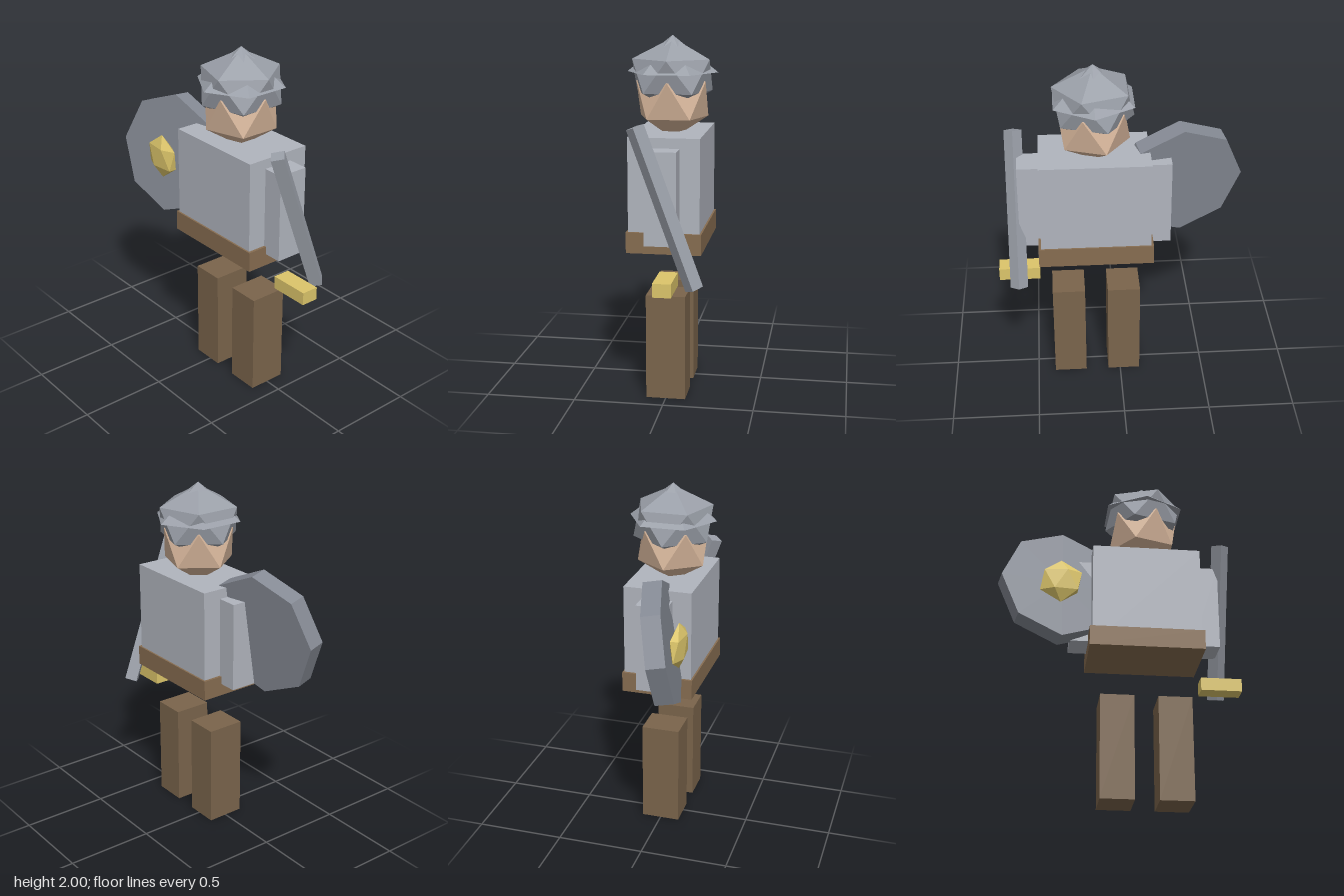
import * as THREE from 'three';

const mat = (color) => new THREE.MeshStandardMaterial({ color, flatShading: true });
const armour = mat(0xb0b4bd), steel = mat(0x9a9fa8), shieldMat = mat(0x858a94);
const leather = mat(0x7a644b), beltMat = mat(0x866c50), skin = mat(0xd8b79c), gold = mat(0xdcc56a);

const BODY_X = 0.14; // the figure stands off-centre because of the shield

export function createModel() {
  const model = new THREE.Group();
  model.name = 'knight';

  function add(name, geometry, material, x, y, z, parent = model) {
    const mesh = new THREE.Mesh(geometry, material);
    mesh.name = name;
    mesh.position.set(x, y, z);
    parent.add(mesh);
    return mesh;
  }
  const box = (name, material, w, h, d, x, y, z) =>
    add(name, new THREE.BoxGeometry(w, h, d), material, x, y, z);

  // Icosahedron standing on a vertex, scaled per axis
  function gem(rx, ry, rz) {
    const g = new THREE.IcosahedronGeometry(1, 0);
    g.rotateZ(-Math.atan(2 / (1 + Math.sqrt(5))));
    return g.scale(rx, ry, rz);
  }

  // Legs and arms
  for (const [side, s] of [['left', 1], ['right', -1]]) {
    box(side + 'Leg', leather, 0.19, 0.595, 0.22, BODY_X + s * 0.162, 0.2975, 0);
    box(side + 'Arm', armour, 0.16, 0.505, 0.175, BODY_X + s * 0.35, 1.172, 0);
  }

  // Torso and belt
  box('torso', armour, 0.62, 0.62, 0.39, BODY_X, 1.17, 0);
  box('belt', beltMat, 0.65, 0.115, 0.41, BODY_X, 0.9075, 0);

  // Head, helmet and its pointed brim
  add('head', gem(0.224, 0.224, 0.224), skin, BODY_X, 1.655, 0);
  add('helmet', gem(0.25, 0.2, 0.25), steel, BODY_X, 1.785, 0);
  add('helmetBrim', new THREE.ConeGeometry(0.252, 0.2, 6), steel, BODY_X, 1.9, 0);

  // Sword: tilted four-sided blade and a crossguard
  const blade = add('swordBlade', new THREE.CylinderGeometry(0.05, 0.05, 0.91, 4),
    steel, 0.585, 1.128, -0.03);
  blade.rotation.x = 0.35;
  box('swordGuard', gold, 0.235, 0.075, 0.1, 0.583, 0.717, -0.03);

  // Octagonal shield, turned inwards and leaning back, with a boss
  const disc = new THREE.CylinderGeometry(0.354, 0.354, 0.105, 8).rotateX(Math.PI / 2);
  const shield = add('shield', disc, shieldMat, -0.35, 1.2475, 0.082);
  shield.rotation.set(-0.15, 0.2, 0);
  add('shieldBoss', gem(0.132, 0.132, 0.044), gold, -0.35, 1.247, 0.177);

  return model;
}
